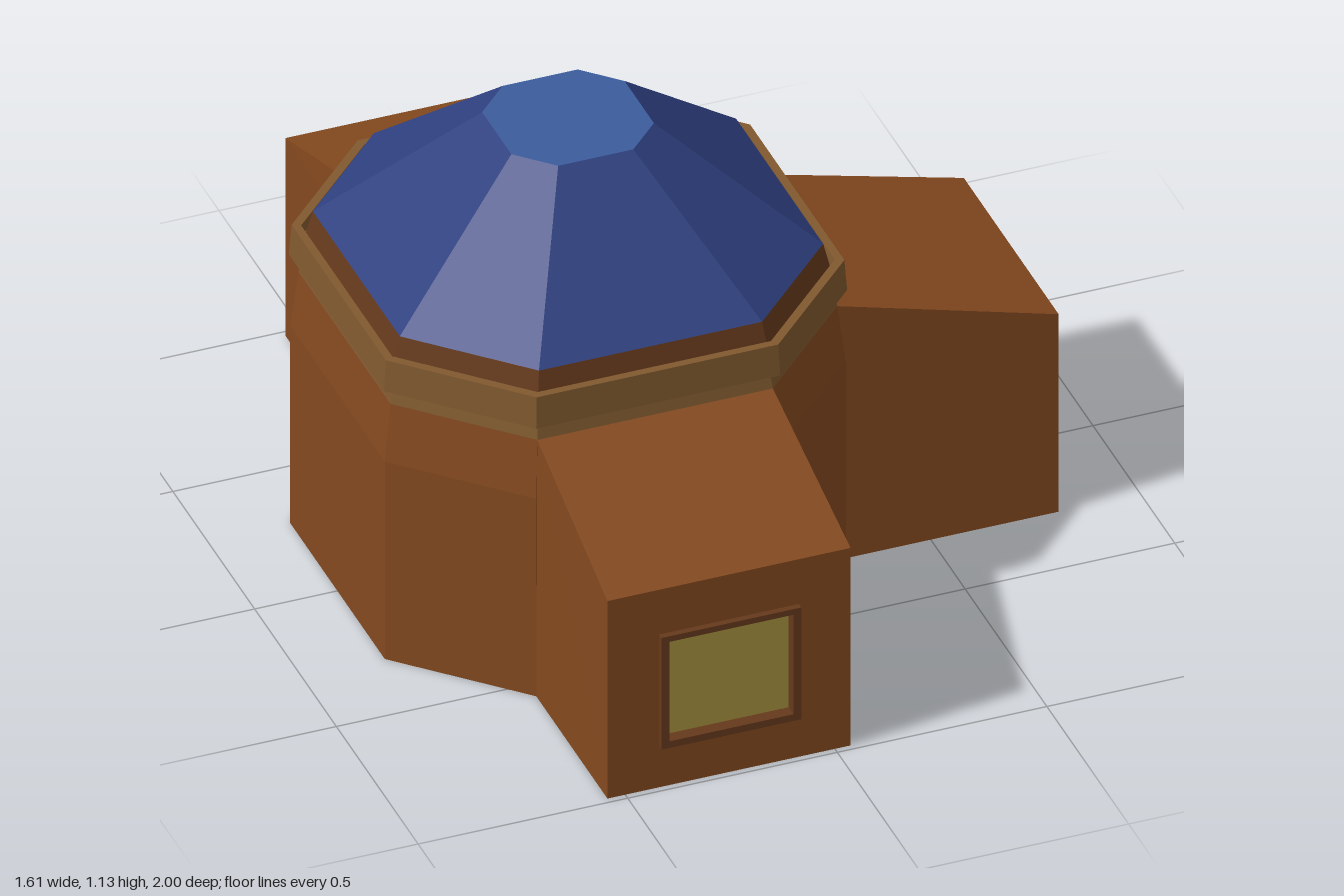
import * as THREE from 'three';

const CX = -0.2525;   // centre of the octagonal hall
const HALF = 0.29;    // half width of each wing
const RATIO = 0.527;  // half side / apothem of the octagon

const mat = (color) => new THREE.MeshStandardMaterial({ color, side: THREE.DoubleSide, flatShading: true });
const wallMat = mat(0x84491f);
const rimMat = mat(0x80592f);
const roofMat = mat(0x2f4080);
const capMat = mat(0x3b5c9c);
const frameMat = mat(0x66391c);
const glassMat = mat(0xa5913f);
const doorMat = mat(0x3a2733);

// Mesh from polygons, each one a loop of [x, y, z] corners fanned from its first corner
function polyMesh(name, polys, material) {
  const pos = [];
  for (const p of polys)
    for (let i = 1; i < p.length - 1; i++) pos.push(...p[0], ...p[i], ...p[i + 1]);
  const geo = new THREE.BufferGeometry();
  geo.setAttribute('position', new THREE.Float32BufferAttribute(pos, 3));
  geo.computeVertexNormals();
  const mesh = new THREE.Mesh(geo, material);
  mesh.name = name;
  return mesh;
}

// Chamfered-square ring with apothem a at height y
function ring(a, y) {
  const h = a * RATIO;
  return [[a, h], [h, a], [-h, a], [-a, h], [-a, -h], [-h, -a], [h, -a], [a, -h]].map(([x, z]) => [x, y, z]);
}

// Octagonal band through a profile of [apothem, y]; skip drops single sides
function band(name, profile, material, skip = []) {
  const polys = [];
  for (let k = 0; k < profile.length - 1; k++) {
    const lo = ring(...profile[k]), hi = ring(...profile[k + 1]);
    for (let i = 0; i < 8; i++) {
      const j = (i + 1) % 8;
      if (!skip.includes(i)) polys.push([lo[i], hi[i], hi[j], lo[j]]);
    }
  }
  return polyMesh(name, polys, material);
}

const loop = (pts) => pts.map(([x, y]) => new THREE.Vector2(x, y));
const rect = (w, y0, y1) => loop([[-w, y0], [w, y0], [w, y1], [-w, y1]]);

function flat(name, shape, z, material) {
  const mesh = new THREE.Mesh(new THREE.ShapeGeometry(shape), material);
  mesh.name = name;
  mesh.position.z = z;
  return mesh;
}

// Wing facing +z whose end wall stands at z = d
function wing(name, d, hasDoor) {
  const g = new THREE.Group();
  g.name = name;
  const polys = [];
  for (const s of [1, -1]) {
    const side = [
      [s * HALF, 0.53, d], [s * HALF, 0, d], [s * HALF, 0, 0.55],
      [s * HALF, 0.53, 0.55], [s * 0.281, 0.675, 0.533],
    ];
    polys.push(s > 0 ? side : side.reverse());
  }
  g.add(polyMesh('wingSideWalls', polys, wallMat));
  g.add(polyMesh('wingRoof', [[
    [-HALF, 0.53, d], [HALF, 0.53, d], [0.281, 0.675, 0.533], [-0.281, 0.675, 0.533],
  ]], wallMat));

  if (hasDoor) {
    const w = 0.147, h = 0.43, b = d - 0.045;
    g.add(flat('doorWall', new THREE.Shape(loop([
      [-HALF, 0], [-w, 0], [-w, h], [w, h], [w, 0], [HALF, 0], [HALF, 0.53], [-HALF, 0.53],
    ])), d, wallMat));
    // Sides and top of the door recess
    g.add(polyMesh('doorJambs', [
      [[-w, 0, d], [-w, 0, b], [-w, h, b], [-w, h, d]],
      [[w, 0, b], [w, 0, d], [w, h, d], [w, h, b]],
      [[-w, h, d], [-w, h, b], [w, h, b], [w, h, d]],
    ], frameMat));
    g.add(flat('door', new THREE.Shape(rect(w, 0, h)), b, doorMat));
  } else {
    const wall = new THREE.Shape(rect(HALF, 0, 0.53));
    wall.holes.push(new THREE.Path(rect(0.166, 0.112, 0.408)));
    g.add(flat('windowWall', wall, d, wallMat));
    // Raised frame around a set-back pane
    const frame = new THREE.Shape(rect(0.167, 0.11, 0.41));
    frame.holes.push(new THREE.Path(rect(0.148, 0.128, 0.395)));
    const frameMesh = new THREE.Mesh(
      new THREE.ExtrudeGeometry(frame, { depth: 0.035, bevelEnabled: false }), frameMat);
    frameMesh.name = 'windowFrame';
    frameMesh.position.z = d - 0.02;
    g.add(frameMesh);
    g.add(flat('windowPane', new THREE.Shape(rect(0.15, 0.126, 0.397)), d - 0.015, glassMat));
  }
  return g;
}

export function createModel() {
  const model = new THREE.Group();
  model.name = 'domedHouse';
  const hall = new THREE.Group();
  hall.name = 'hall';
  hall.position.x = CX;
  model.add(hall);

  // Octagonal walls, open where the wings join
  hall.add(band('hallWalls', [[0.55, 0], [0.55, 0.53], [0.533, 0.675]], wallMat, [1, 5, 7]));
  hall.add(band('upperWalls', [[0.533, 0.675], [0.525, 0.72]], rimMat));

  // Cornice with a shallow groove behind it, then the roof
  hall.add(band('cornice', [
    [0.525, 0.72], [0.5525, 0.72], [0.547, 0.8], [0.528, 0.8], [0.525, 0.775], [0.52, 0.775],
  ], rimMat));
  hall.add(band('roofDrum', [[0.52, 0.775], [0.505, 0.84]], frameMat));
  hall.add(band('roof', [[0.505, 0.84], [0.17, 1.135]], roofMat));
  hall.add(polyMesh('roofCap', [ring(0.17, 1.135).reverse()], capMat));

  // Window wings at front and back, door wing on the left
  const wings = [['frontWing', 0.985, false, 0], ['backWing', 0.985, false, Math.PI], ['doorWing', 1.0575, true, Math.PI / 2]];
  for (const [name, d, hasDoor, turn] of wings) {
    const w = wing(name, d, hasDoor);
    w.rotation.y = turn;
    hall.add(w);
  }
  return model;
}
